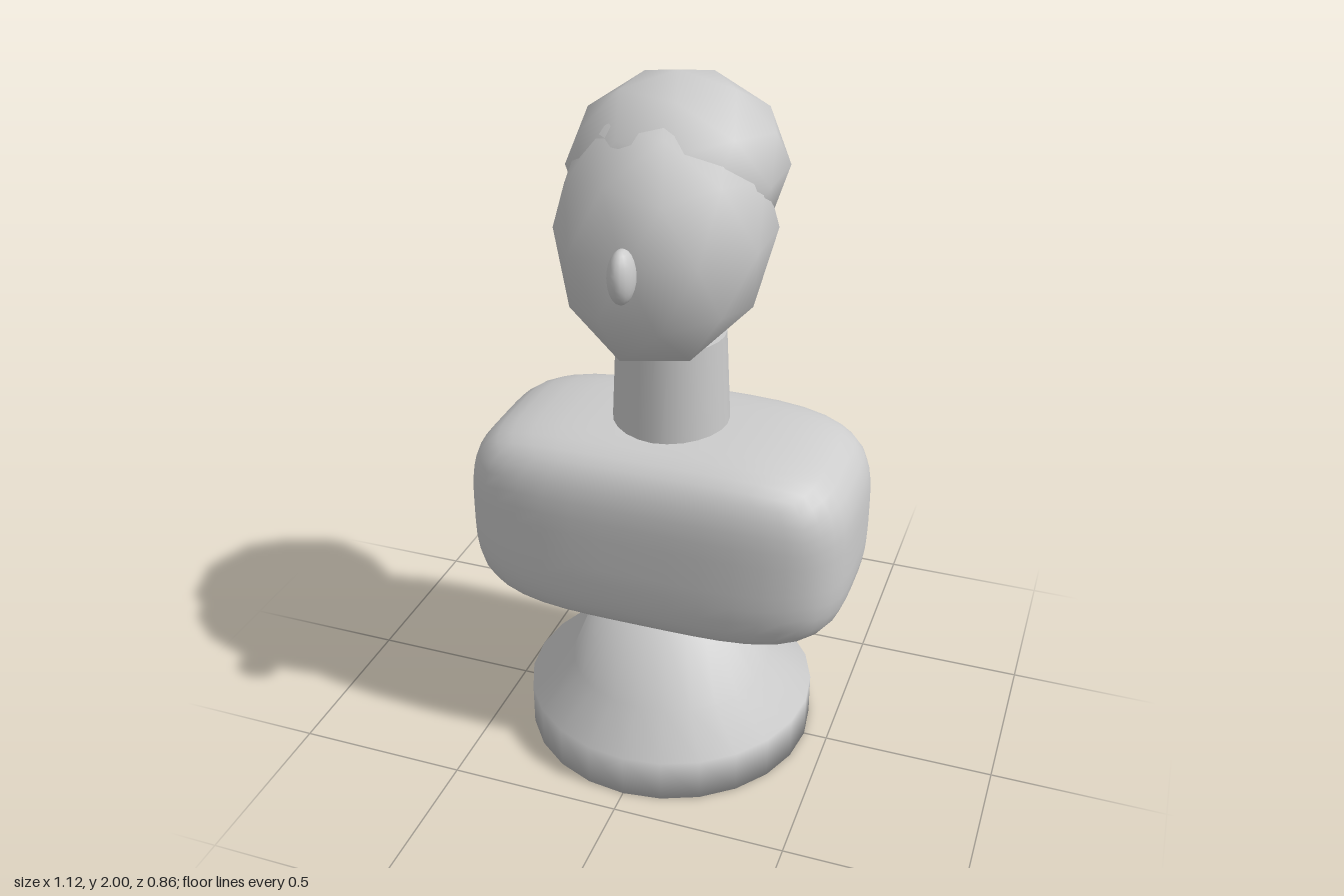
import * as THREE from 'three';
import { mergeVertices } from 'three/addons/utils/BufferGeometryUtils.js';

const material = new THREE.MeshStandardMaterial({ color: 0xcccccc });

// Moves every vertex by a rule, then welds the seams for smooth normals
function reshape(geometry, rule) {
  const p = geometry.attributes.position;
  const v = new THREE.Vector3();
  for (let i = 0; i < p.count; i++) {
    rule(v.fromBufferAttribute(p, i));
    p.setXYZ(i, v.x, v.y, v.z);
  }
  geometry.deleteAttribute('uv');
  geometry.deleteAttribute('normal');
  const welded = mergeVertices(geometry, 1e-4);
  welded.computeVertexNormals();
  return welded;
}

// Coarse ball with a vertex at its top, scaled to the given radii
function ball(rx, ry, rz, rule = () => {}) {
  const geometry = new THREE.IcosahedronGeometry(1, 1);
  geometry.rotateZ(-Math.atan(2 / (1 + Math.sqrt(5))));
  geometry.scale(rx, ry, rz);
  return reshape(geometry, rule);
}

export function createModel() {
  const model = new THREE.Group();
  const add = (name, geometry, x = 0, y = 0, z = 0) => {
    const mesh = new THREE.Mesh(geometry, material);
    mesh.name = name;
    mesh.position.set(x, y, z);
    model.add(mesh);
  };

  // Flared round foot, closed above and below
  const profile = [[0, 0], [0.43, 0], [0.43, 0.13], [0.3, 0.215], [0.215, 0.435], [0, 0.435]];
  add('base', new THREE.LatheGeometry(profile.map(([r, y]) => new THREE.Vector2(r, y)), 24));

  // Pillow-like block: a cube pulled onto a rounded superellipsoid
  const power = 3.9;
  add('torso', reshape(new THREE.BoxGeometry(2, 2, 2, 12, 12, 12), (v) => {
    const sum = Math.abs(v.x) ** power + Math.abs(v.y) ** power + Math.abs(v.z) ** power;
    v.multiplyScalar(sum ** (-1 / power)).multiply(new THREE.Vector3(0.56, 0.298, 0.32));
  }), 0, 0.737, 0);

  add('neck', new THREE.CylinderGeometry(0.153, 0.168, 0.32, 24), 0, 1.14, 0);

  // Head, its lower half drawn forward into a chin
  add('head', ball(0.294, 0.34, 0.315, (v) => {
    if (v.y < 0) v.z += 0.1 * (v.y / 0.34) ** 2;
  }), 0, 1.61, 0.043);

  add('hair', ball(0.295, 0.25, 0.31), 0, 1.75, -0.053);

  add('nose', new THREE.SphereGeometry(1, 16, 12).scale(0.035, 0.072, 0.05), 0, 1.6, 0.37);

  return model;
}
